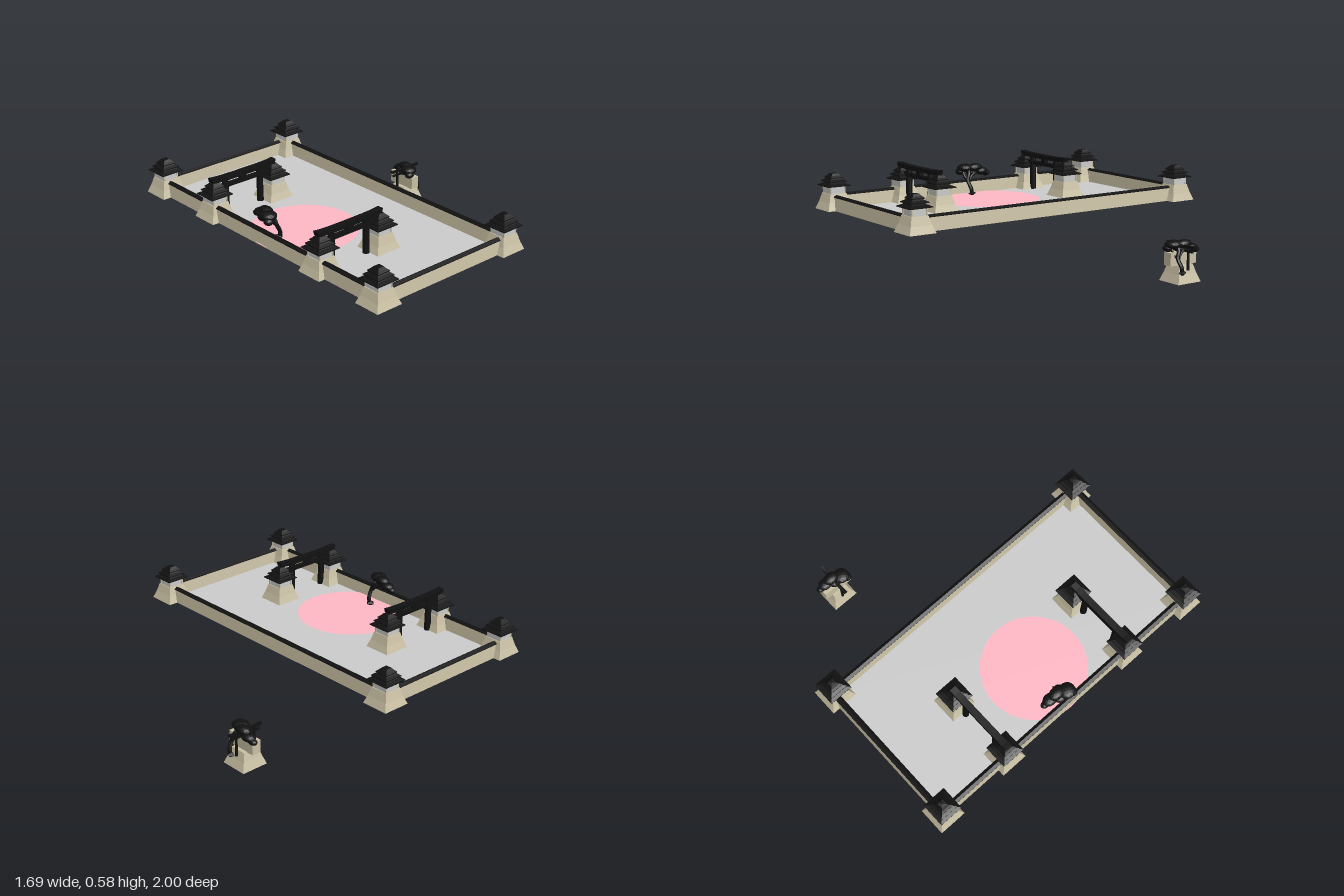
import * as THREE from 'three';

const mat = (color, side = THREE.FrontSide) =>
  new THREE.MeshStandardMaterial({ color, side, flatShading: true });
const STONE = mat(0xc9c0a4), BLACK = mat(0x111111), GREY = mat(0xcccccc);
const FLOOR = mat(0xcccccc, THREE.DoubleSide), PINK = mat(0xffb7c5, THREE.DoubleSide);

function add(parent, name, geometry, material, x = 0, y = 0, z = 0) {
  const mesh = new THREE.Mesh(geometry, material);
  mesh.name = name;
  mesh.position.set(x, y, z);
  parent.add(mesh);
  return mesh;
}

// Square-plan solid turned from a list of [half width, height]
function squareLathe(profile) {
  const points = profile.map(([w, y]) => new THREE.Vector2(w * Math.SQRT2, y));
  return new THREE.LatheGeometry(points, 4, Math.PI / 4);
}

// Battered stone foot, plain room and a three-tier roof
function tower(x, z) {
  const g = new THREE.Group();
  g.name = 'tower';
  g.position.set(x, 0.34, z);
  add(g, 'stoneBase', squareLathe([[0, 0], [0.083, 0], [0.066, 0.045], [0.052, 0.095], [0, 0.095]]), STONE);
  add(g, 'room', new THREE.BoxGeometry(0.094, 0.06, 0.094), GREY, 0, 0.12, 0);
  for (const sx of [-1, 1]) for (const sz of [-1, 1])
    add(g, 'cornerPost', new THREE.BoxGeometry(0.008, 0.06, 0.008), STONE, sx * 0.045, 0.12, sz * 0.045);
  [[0.072, 0.138], [0.056, 0.162], [0.04, 0.184]].forEach(([w, y]) =>
    add(g, 'roofTier', squareLathe([[0, y], [w, y], [w, y + 0.005], [w * 0.72, y + 0.014], [w * 0.45, y + 0.026], [0, y + 0.028]]), BLACK));
  return g;
}

// Battered wall with a ridged coping, running between two corners
function wall(x1, z1, x2, z2) {
  const length = Math.hypot(x2 - x1, z2 - z1);
  const g = new THREE.Group();
  g.name = 'wall';
  g.position.set((x1 + x2) / 2, 0.34, (z1 + z2) / 2);
  g.rotation.y = Math.atan2(x2 - x1, z2 - z1);
  const extrude = pts => new THREE.ExtrudeGeometry(
    new THREE.Shape(pts.map(p => new THREE.Vector2(...p))), { depth: length, bevelEnabled: false });
  add(g, 'wallBody', extrude([[-0.023, 0], [0.023, 0], [0.013, 0.078], [-0.013, 0.078]]), STONE, 0, 0, -length / 2);
  add(g, 'coping', extrude([[-0.018, 0.076], [0.018, 0.076], [0.018, 0.08], [0, 0.09], [-0.018, 0.08]]), BLACK, 0, 0, -length / 2);
  return g;
}

// Beam with its ends swept upward
function sweptBeam(length, height, depth, lift) {
  const geo = new THREE.BoxGeometry(length, height, depth, 12, 1, 1);
  const p = geo.attributes.position;
  for (let i = 0; i < p.count; i++) {
    const t = Math.abs(p.getX(i)) / (length / 2);
    p.setY(i, p.getY(i) + lift * t ** 4);
    if (p.getY(i) < 0) p.setX(i, p.getX(i) * 0.97);
  }
  geo.computeVertexNormals();
  return geo;
}

// Two-post gate with double lintel; s holds its measurements
function gate(x, z, s) {
  const g = new THREE.Group();
  g.name = 'gate';
  g.position.set(x, 0, z);
  const h = s.top - s.bottom;
  for (const side of [-1, 1]) {
    add(g, 'gatePost', new THREE.CylinderGeometry(s.post * 0.92, s.post, h, 12), BLACK, side * s.span, s.bottom + h / 2, 0);
  }
  add(g, 'topBeam', sweptBeam(s.length, s.beam, s.depth, s.beam * 0.3), BLACK, 0, s.top, 0);
  add(g, 'lowerBeam', new THREE.BoxGeometry(s.length * 0.87, s.beam * 0.85, s.depth * 0.6), BLACK, 0, s.lower, 0);
  add(g, 'strut', new THREE.BoxGeometry(s.post * 2, s.top - s.lower, s.depth * 0.6), BLACK, 0, (s.top + s.lower) / 2, 0);
  return g;
}

// Leaning pine: curved trunk, branches and flattened foliage pads
function tree(x, y, z) {
  const g = new THREE.Group();
  g.name = 'tree';
  g.position.set(x, y, z);
  const limb = (name, radius, pts) => add(g, name, new THREE.TubeGeometry(
    new THREE.CatmullRomCurve3(pts.map(p => new THREE.Vector3(...p))), 14, radius, 7), BLACK);
  limb('trunk', 0.012, [[0, 0, 0], [0.004, 0.04, 0.008], [-0.022, 0.09, 0.015], [-0.03, 0.13, 0], [-0.06, 0.16, -0.01]]);
  limb('branch', 0.008, [[-0.022, 0.09, 0.015], [-0.05, 0.115, 0.025], [-0.07, 0.15, 0.02]]);
  limb('branch', 0.008, [[-0.02, 0.085, 0.012], [-0.035, 0.125, -0.03], [-0.04, 0.135, -0.11]]);
  add(g, 'roots', new THREE.OctahedronGeometry(0.028), BLACK, 0, 0.012, 0).scale.y = 0.6;
  const pads = [
    [-0.072, 0.162, 0.005, 0.048, 0.026, 0.05], [-0.09, 0.14, 0.03, 0.03, 0.022, 0.028],
    [-0.045, 0.163, -0.05, 0.036, 0.027, 0.05], [-0.042, 0.14, -0.095, 0.036, 0.024, 0.045],
    [-0.042, 0.125, -0.128, 0.022, 0.018, 0.03], [-0.065, 0.135, -0.04, 0.035, 0.022, 0.04],
  ];
  for (const [px, py, pz, sx, sy, sz] of pads)
    add(g, 'foliage', new THREE.IcosahedronGeometry(1, 2), BLACK, px, py, pz).scale.set(sx, sy, sz);
  return g;
}

export function createModel() {
  const model = new THREE.Group();
  model.name = 'walledCourtyard';
  const L = -0.765, R = 0.147, Z = 0.917;

  // Courtyard floor and round inlay
  add(model, 'floor', new THREE.PlaneGeometry(0.93, 1.87).rotateX(-Math.PI / 2), FLOOR, -0.31, 0.343, 0);
  add(model, 'roundInlay', new THREE.CircleGeometry(0.308, 64).rotateX(-Math.PI / 2), PINK, -0.495, 0.348, 0.015);

  // Enclosing walls
  for (const s of [-1, 1]) model.add(wall(L, s * 0.932, R, s * 0.932));
  for (const x of [-0.775, 0.15]) model.add(wall(x, -Z, x, Z));

  // Corner towers, then gate towers with the gates between them
  for (const x of [L, R]) for (const s of [-1, 1]) model.add(tower(x, s * Z));
  for (const z of [-0.452, 0.46]) {
    for (const x of [-0.755, -0.34]) model.add(tower(x, z));
    model.add(gate(-0.557, z, {
      bottom: 0.3, top: 0.558, lower: 0.512, span: 0.122, post: 0.02, length: 0.455, beam: 0.026, depth: 0.04,
    }));
  }
  model.add(tree(-0.675, 0.345, 0.015));

  // Detached shrine: stone foot, cross block, small gate and tree
  const shrine = new THREE.Group();
  shrine.name = 'shrine';
  add(shrine, 'stoneBase', squareLathe([[0, 0], [0.082, 0], [0.064, 0.05], [0.05, 0.1], [0, 0.1]]), STONE, 0.727, 0, -0.452);
  add(shrine, 'crossBlock', new THREE.BoxGeometry(0.055, 0.075, 0.19), STONE, 0.727, 0.135, -0.452);
  shrine.add(gate(0.727, -0.455, {
    bottom: 0.07, top: 0.203, lower: 0.178, span: 0.062, post: 0.008, length: 0.225, beam: 0.013, depth: 0.018,
  }));
  shrine.add(tree(0.79, 0.05, -0.412));
  model.add(shrine);
  return model;
}
